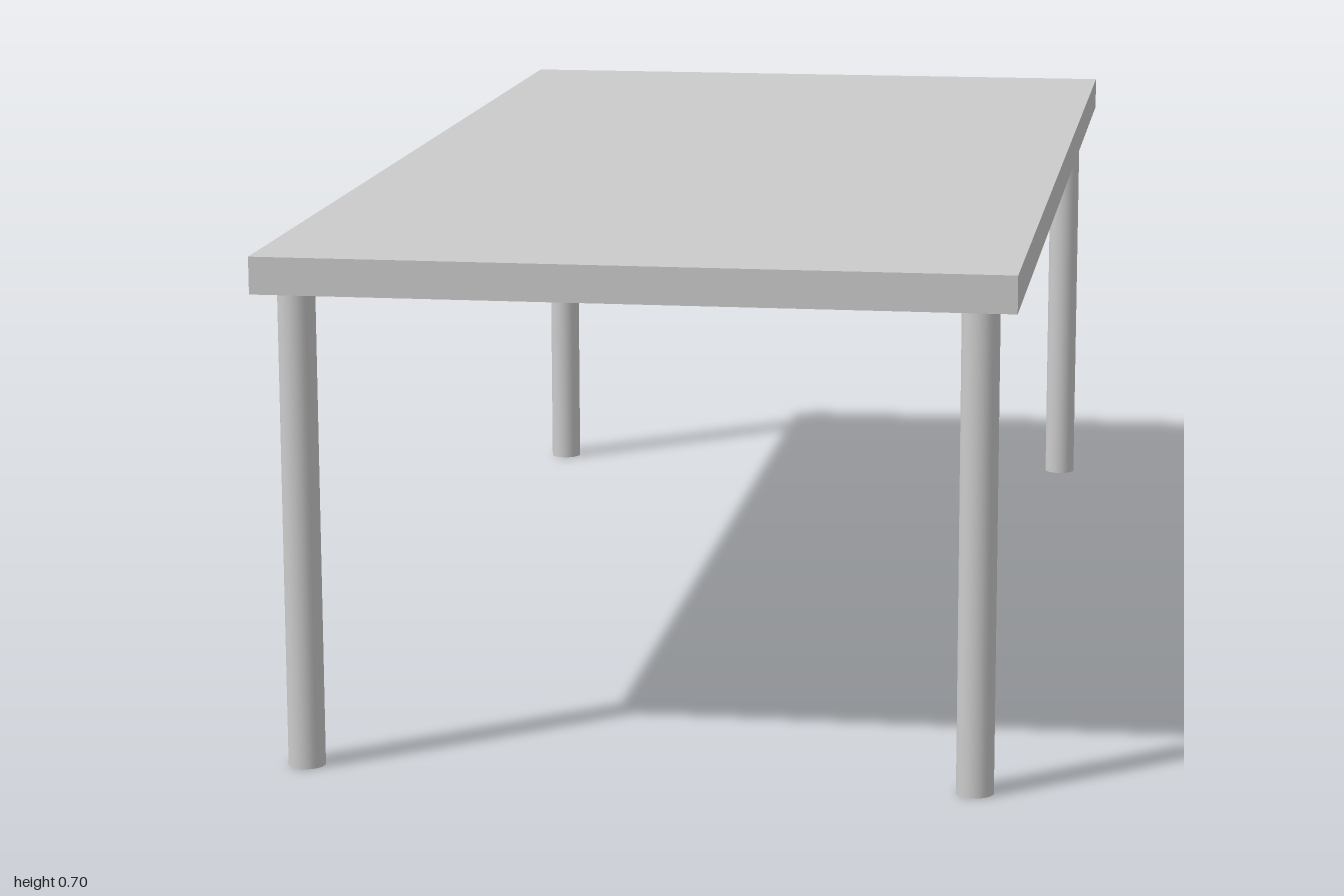
import * as THREE from 'three';

const LENGTH = 2, WIDTH = 1, HEIGHT = 0.7, THICKNESS = 0.05;
const LEG_RADIUS = 0.025, LEG_INSET = 0.05;

export function createModel() {
  const table = new THREE.Group();
  table.name = 'table';
  const material = new THREE.MeshStandardMaterial({ color: 0xcccccc });

  // Flat rectangular slab
  const top = new THREE.Mesh(new THREE.BoxGeometry(WIDTH, THICKNESS, LENGTH), material);
  top.name = 'tableTop';
  top.position.y = HEIGHT - THICKNESS / 2;
  table.add(top);

  // Round legs, one inset from each corner
  const legHeight = HEIGHT - THICKNESS;
  const legGeometry = new THREE.CylinderGeometry(LEG_RADIUS, LEG_RADIUS, legHeight, 32);
  for (const [side, sx] of [['Left', 1], ['Right', -1]]) {
    for (const [end, sz] of [['front', 1], ['back', -1]]) {
      const leg = new THREE.Mesh(legGeometry, material);
      leg.name = `${end}${side}Leg`;
      leg.position.set(sx * (WIDTH / 2 - LEG_INSET), legHeight / 2, sz * (LENGTH / 2 - LEG_INSET));
      table.add(leg);
    }
  }
  return table;
}
